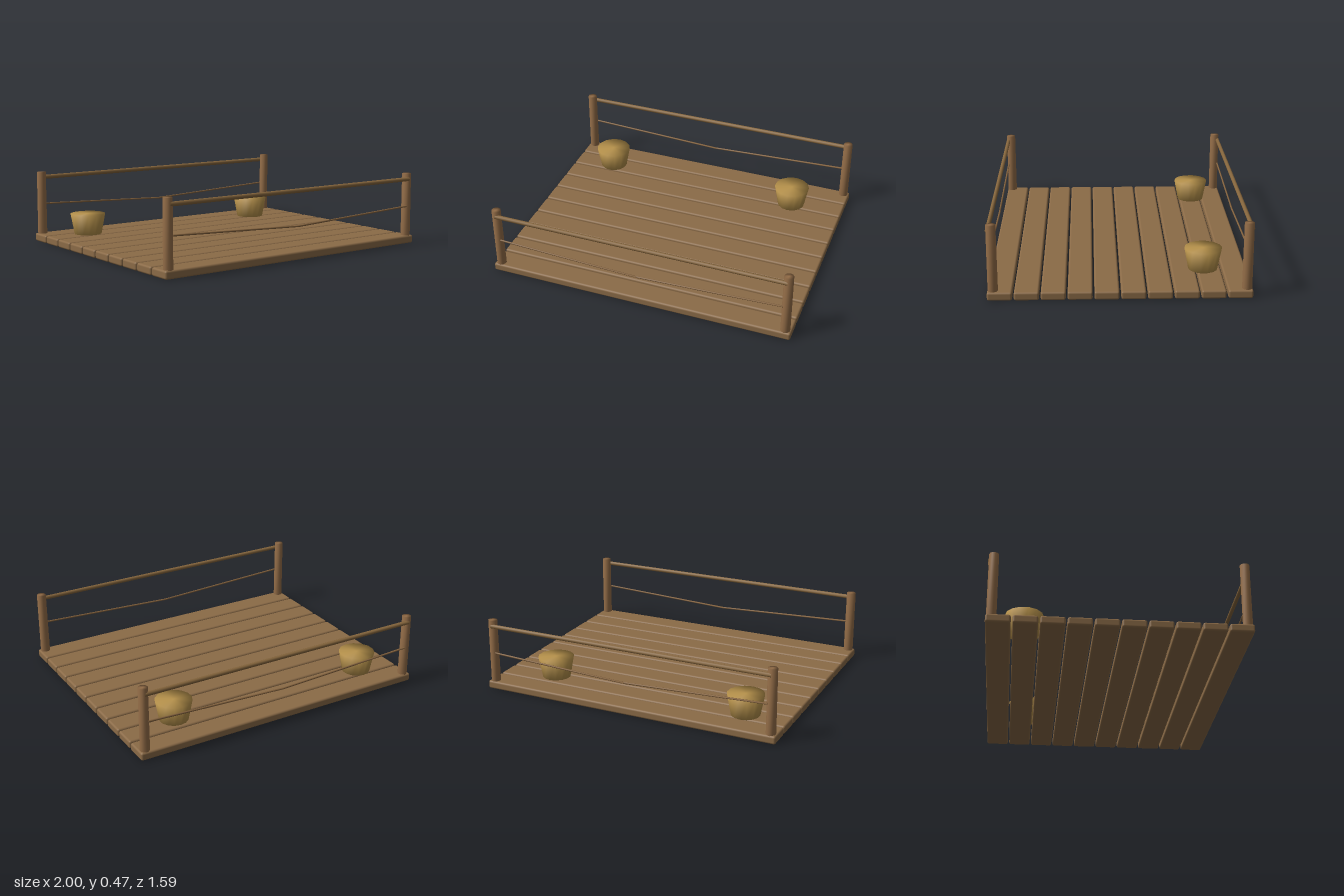
import * as THREE from 'three';
import { mergeVertices } from 'three/addons/utils/BufferGeometryUtils.js';
import { RoundedBoxGeometry } from 'three/addons/geometries/RoundedBoxGeometry.js';

const material = (name, color) => {
  const m = new THREE.MeshStandardMaterial({ color });
  m.name = name;
  return m;
};

// Cylinder with normals shared between wall and caps, for a soft worn look
function softCylinder(top, bottom, height, sides) {
  const g = new THREE.CylinderGeometry(top, bottom, height, sides);
  g.deleteAttribute('normal');
  g.deleteAttribute('uv');
  const merged = mergeVertices(g, 1e-4);
  merged.computeVertexNormals();
  return merged;
}

export function createModel() {
  const plankWood = material('plank wood', 0x8b6b47);
  const postWood = material('post wood', 0x966f49);
  const railWood = material('rail wood', 0x86663d);
  const ropeFibre = material('rope fibre', 0x86643f);
  const wicker = material('wicker', 0xb8934c);

  const model = new THREE.Group();
  model.name = 'deck';
  const add = (name, geometry, mat, x, y, z) => {
    const mesh = new THREE.Mesh(geometry, mat);
    mesh.name = name;
    mesh.position.set(x, y, z);
    model.add(mesh);
    return mesh;
  };

  // Ten rounded planks running left to right
  const plank = new RoundedBoxGeometry(2, 0.053, 0.15, 2, 0.013);
  for (let i = 0; i < 10; i++) {
    add('plank', plank, plankWood, 0, 0.0265, (i - 4.5) * 0.16);
  }

  // Posts, handrail and sagging rope along the front and back
  const post = softCylinder(0.03, 0.031, 0.43, 10);
  const rail = softCylinder(0.014, 0.014, 1.92, 8);
  for (const side of [-1, 1]) {
    for (const x of [-0.96, 0.96]) add('post', post, postWood, x, 0.255, side * 0.76);

    add('handrail', rail, railWood, 0, 0.432, side * 0.78).rotation.z = Math.PI / 2;

    for (const half of [-1, 1]) {
      const length = Math.hypot(0.94, 0.04);
      const rope = add('rope', softCylinder(0.006, 0.006, length, 6), ropeFibre,
        half * 0.47, 0.231, side * 0.783);
      rope.rotation.z = Math.PI / 2 + half * Math.atan2(0.04, 0.94);
    }
  }

  // Two tapered baskets near the back
  const basket = softCylinder(0.118, 0.092, 0.137, 14);
  add('basket', basket, wicker, -0.72, 0.1215, -0.565);
  add('basket', basket, wicker, 0.64, 0.1215, -0.525);

  return model;
}
